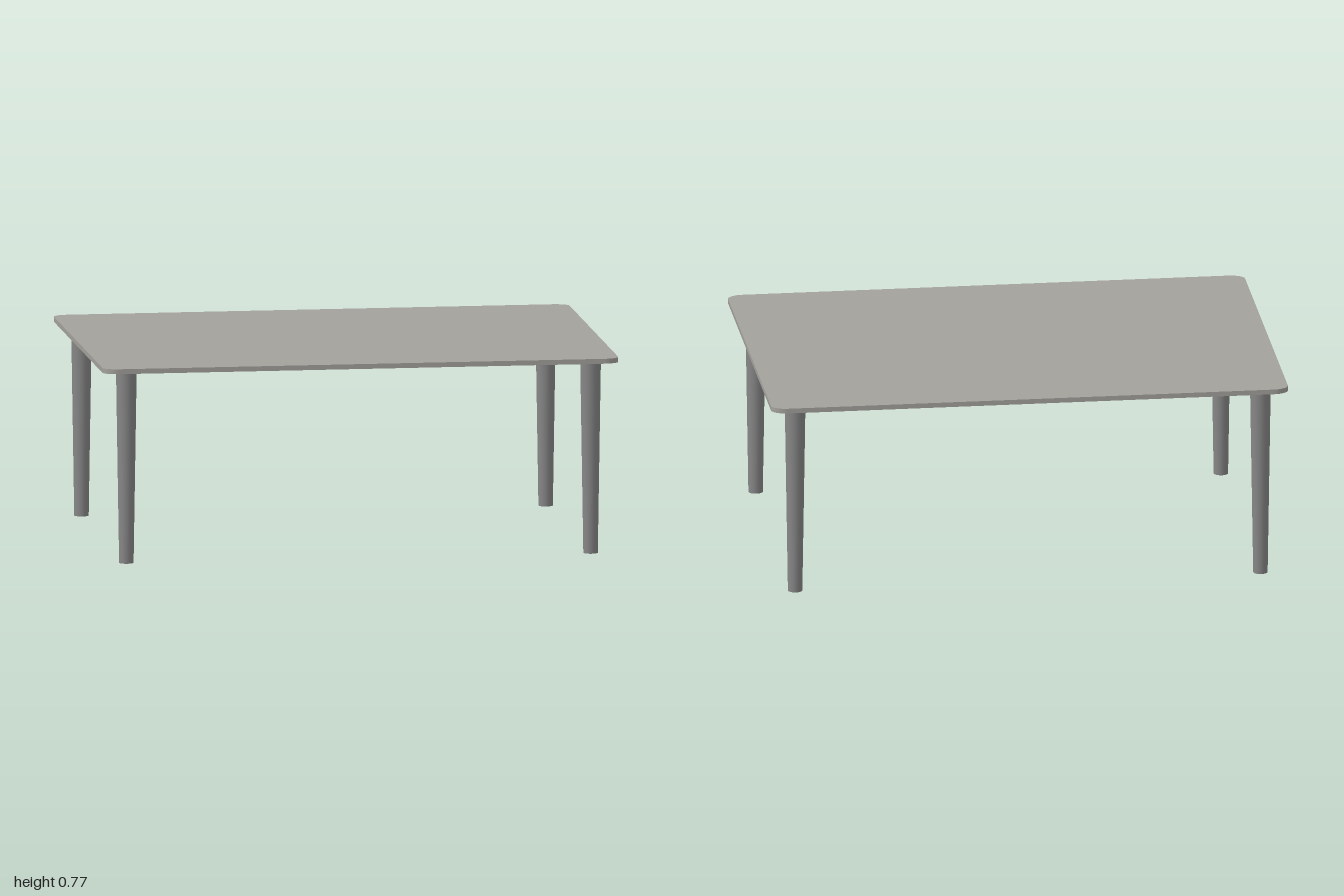
import * as THREE from 'three';

const TOP_Y = 0.766, THICK = 0.019;
const HALF_X = 1, HALF_Z = 0.702;

// Rectangle outline with softly rounded corners
function topOutline(hx, hz, rx, rz) {
  const s = new THREE.Shape();
  const q = Math.PI / 2;
  s.absellipse(hx - rx, hz - rz, rx, rz, 0, q);
  s.absellipse(-hx + rx, hz - rz, rx, rz, q, 2 * q);
  s.absellipse(-hx + rx, -hz + rz, rx, rz, 2 * q, 3 * q);
  s.absellipse(hx - rx, -hz + rz, rx, rz, 3 * q, 4 * q);
  s.closePath();
  return s;
}

export function createModel() {
  const table = new THREE.Group();
  table.name = 'table';

  const topGrey = new THREE.MeshStandardMaterial({ color: 0xa3a19b });
  topGrey.name = 'warm grey top';
  const legGrey = new THREE.MeshStandardMaterial({ color: 0x878787 });
  legGrey.name = 'grey leg';

  // Thin slab laid flat
  const slab = new THREE.ExtrudeGeometry(topOutline(HALF_X, HALF_Z, 0.06, 0.045), {
    depth: THICK, bevelEnabled: false, curveSegments: 8,
  });
  slab.rotateX(-Math.PI / 2);
  const tabletop = new THREE.Mesh(slab, topGrey);
  tabletop.name = 'tabletop';
  tabletop.position.y = TOP_Y - THICK;
  table.add(tabletop);

  // Four round legs tapering towards the floor
  const legHeight = TOP_Y - THICK;
  const legGeometry = new THREE.CylinderGeometry(0.04, 0.028, legHeight, 24);
  for (const x of [-1, 1]) {
    for (const z of [-1, 1]) {
      const leg = new THREE.Mesh(legGeometry, legGrey);
      leg.name = (z > 0 ? 'front' : 'back') + (x > 0 ? 'Left' : 'Right') + 'Leg';
      leg.position.set(x * 0.9, legHeight / 2, z * 0.608);
      table.add(leg);
    }
  }
  return table;
}
